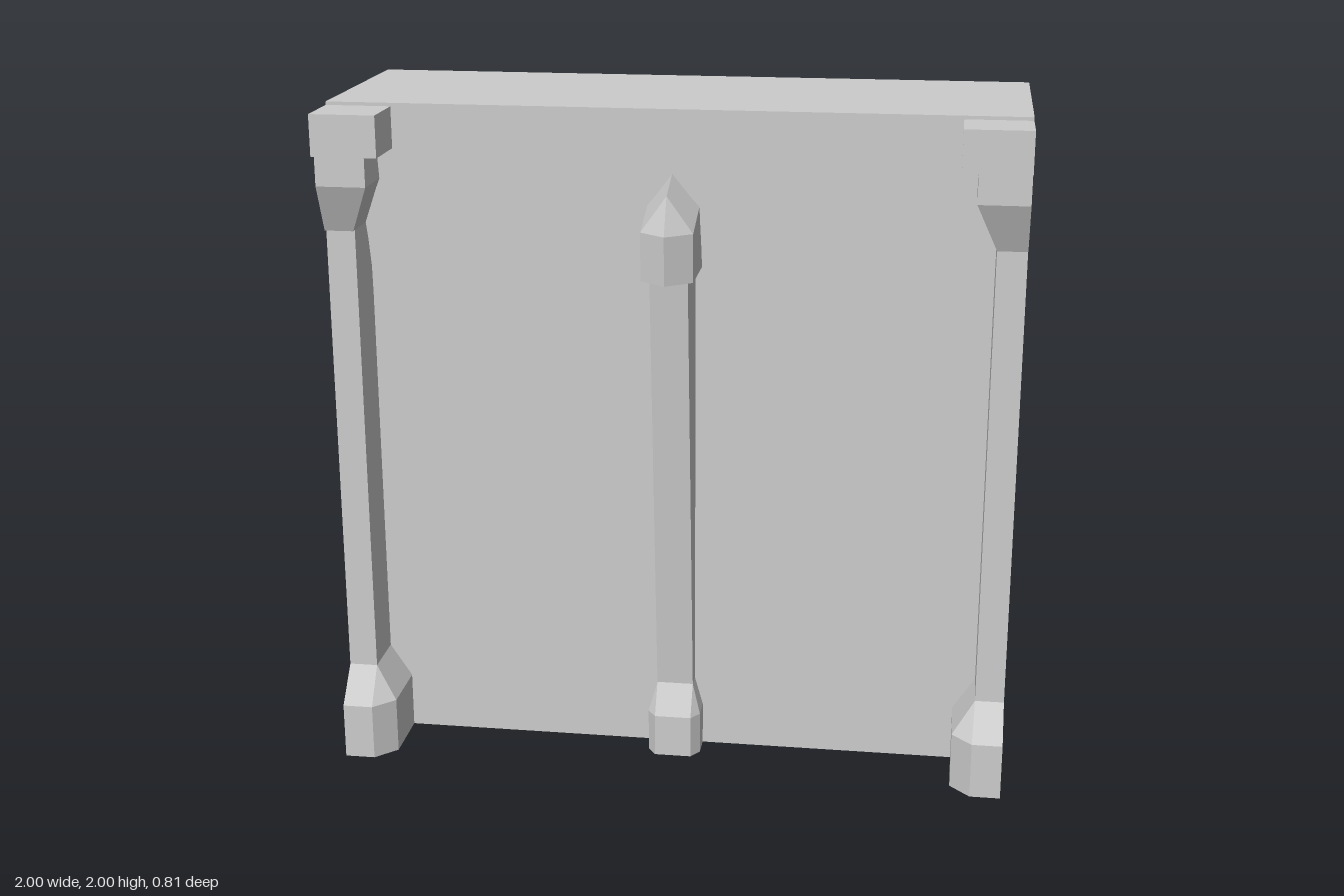
import * as THREE from 'three';

const flat = new THREE.MeshStandardMaterial({ color: 0xcccccc, flatShading: true, side: THREE.DoubleSide });
const smooth = new THREE.MeshStandardMaterial({ color: 0xcccccc, side: THREE.DoubleSide });

// Skin a stack of open cross-sections (each a list of [x, y, z])
function loft(name, rings) {
  const pos = [];
  for (let r = 0; r < rings.length - 1; r++) {
    const a = rings[r], b = rings[r + 1];
    for (let i = 0; i < a.length - 1; i++) {
      pos.push(...a[i], ...a[i + 1], ...b[i + 1], ...a[i], ...b[i + 1], ...b[i]);
    }
  }
  const g = new THREE.BufferGeometry();
  g.setAttribute('position', new THREE.Float32BufferAttribute(pos, 3));
  g.computeVertexNormals();
  const m = new THREE.Mesh(g, flat);
  m.name = name;
  return m;
}

// Half section of an end column, open at the back and on the seam at x = 1
const half = (y, x, z0, z1, c = 0) =>
  [[x, y, z0], [x, y, z1 - c], [x + c, y, z1], [1, y, z1]];
// All points gathered in the back corner of the seam, which closes an end
const close = (y, z0) => Array.from({ length: 4 }, () => [1, y, z0]);

function endColumn(name) {
  const g = new THREE.Group();
  g.name = name;
  g.add(
    loft('columnBase', [half(0, 0.85, 0.07, 0.39, 0.06), half(0.17, 0.85, 0.07, 0.39, 0.06), half(0.27, 0.915, 0.09, 0.3)]),
    loft('columnShaft', [half(0.27, 0.915, 0.095, 0.3), half(1.71, 0.915, 0.095, 0.3)]),
    loft('columnCapital', [close(1.64, 0.07), half(1.64, 0.915, 0.07, 0.315), half(1.78, 0.855, 0.015, 0.375), half(1.945, 0.855, 0.015, 0.375)]),
    loft('columnCapBlock', [close(1.87, -0.04), half(1.87, 0.81, -0.04, 0.405), half(1.99, 0.81, -0.04, 0.405), close(1.99, -0.04)])
  );
  return g;
}

// Section of the middle pilaster, open at the back
const pilasterRing = (y, w, f, zSide, zFront) =>
  [[w, y, 0.1], [w, y, zSide], [f, y, zFront], [-f, y, zFront], [-w, y, zSide], [-w, y, 0.1]];

function middlePilaster() {
  const g = new THREE.Group();
  g.name = 'middlePilaster';
  // Pointed head: prism with a keel front and a gabled roof rising towards the back
  const w = 0.075;
  const plan = [[w, 0], [w, 0.35], [0, 0.405], [-w, 0.35], [-w, 0]];
  const low = plan.map(([x, z]) => [x, 1.53, z]);
  const eave = plan.map(([x, z]) => [x, z ? 1.67 : 1.8, z]);
  const ridge = plan.map(([, z]) => [0, z ? 1.775 : 1.905, z ? 0.35 : 0]);
  const under = plan.map(() => [0, 1.53, 0]);
  g.add(
    loft('pilasterBase', [
      pilasterRing(0, 0.08, 0.055, 0.215, 0.25),
      pilasterRing(0.13, 0.08, 0.055, 0.215, 0.25),
      pilasterRing(0.22, 0.055, 0.055, 0.195, 0.195)].map(r => r.reverse())),
    loft('pilasterShaft', [
      pilasterRing(0.22, 0.055, 0.055, 0.195, 0.195),
      pilasterRing(1.53, 0.055, 0.055, 0.315, 0.315)].map(r => r.reverse())),
    loft('pilasterHead', [under, low, eave, ridge].map(r => r.reverse()))
  );
  return g;
}

export function createModel() {
  const model = new THREE.Group();
  model.name = 'wallSegment';

  // Front wall, coving outward towards the top, with evenly lit normals
  const front = new THREE.PlaneGeometry(2, 2, 1, 24).translate(0, 1, 0);
  const p = front.attributes.position;
  for (let i = 0; i < p.count; i++) p.setZ(i, 0.145 + 0.097 * THREE.MathUtils.smoothstep(p.getY(i), 1.45, 1.85));
  const frontWall = new THREE.Mesh(front, smooth);
  frontWall.name = 'frontWall';

  // Flat back wall and top
  const backWall = new THREE.Mesh(new THREE.PlaneGeometry(2, 2).rotateY(Math.PI).translate(0, 1, -0.405), flat);
  backWall.name = 'backWall';
  const top = new THREE.Mesh(new THREE.PlaneGeometry(2, 0.647).rotateX(-Math.PI / 2).translate(0, 2, -0.0815), flat);
  top.name = 'wallTop';

  // Half columns at both ends
  const left = endColumn('leftColumn'), right = endColumn('rightColumn');
  right.scale.x = -1;

  model.add(frontWall, backWall, top, left, right, middlePilaster());
  return model;
}
